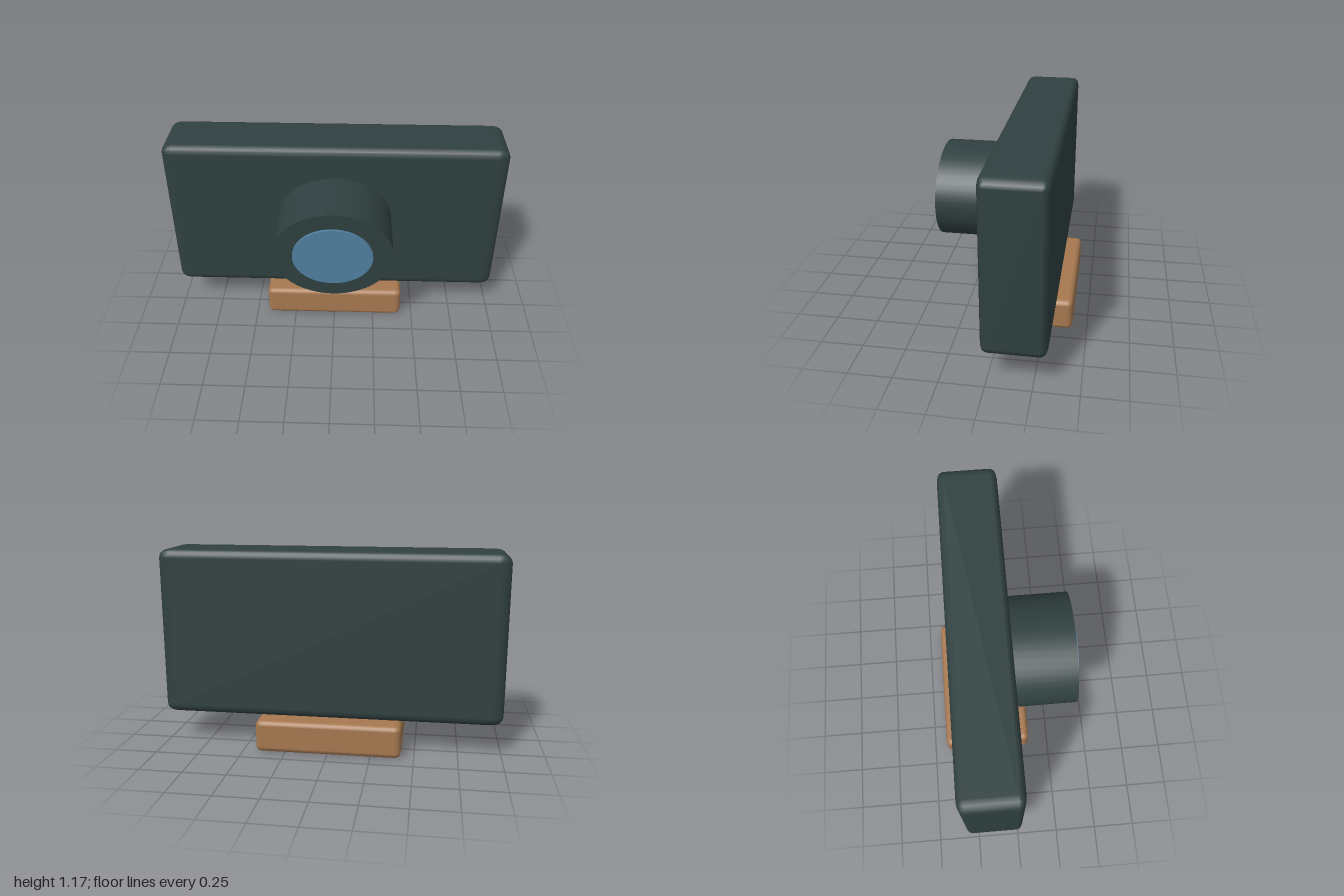
import * as THREE from 'three';
import { RoundedBoxGeometry } from 'three/addons/geometries/RoundedBoxGeometry.js';

const paint = (name, color) => {
  const m = new THREE.MeshStandardMaterial({ color });
  m.name = name;
  return m;
};

export function createModel() {
  const group = new THREE.Group();
  const dark = paint('dark slate', 0x304040);
  const wood = paint('tan wood', 0xa67850);
  const glass = paint('blue glass', 0x5080a0);

  const add = (name, geometry, material, x, y, z) => {
    const mesh = new THREE.Mesh(geometry, material);
    mesh.name = name;
    mesh.position.set(x, y, z);
    group.add(mesh);
  };

  // Rounded block whose edge radius differs slightly per axis
  const block = (w, h, d, r, sx, sy, sz) =>
    new RoundedBoxGeometry(w / sx, h / sy, d / sz, 2, r).scale(sx, sy, sz);

  // Elliptical disc pointing forward, from z = 0 to z = depth
  const disc = (rx, ry, depth) =>
    new THREE.CylinderGeometry(1, 1, depth, 48)
      .rotateX(Math.PI / 2)
      .scale(rx, ry, 1)
      .translate(0, 0, depth / 2);

  // Wide body on a small foot
  add('body', block(2, 0.98, 0.355, 0.05, 1.35, 1, 0.8), dark, 0, 0.68, -0.147);
  add('base', block(0.85, 0.19, 0.535, 0.032, 1.1, 0.95, 0.95), wood, 0, 0.095, -0.147);

  // Lens barrel and its glass
  add('lensBarrel', disc(0.341, 0.279, 0.42), dark, 0, 0.702, -0.02);
  add('lensGlass', disc(0.228, 0.186, 0.03), glass, 0, 0.702, 0.386);

  return group;
}
